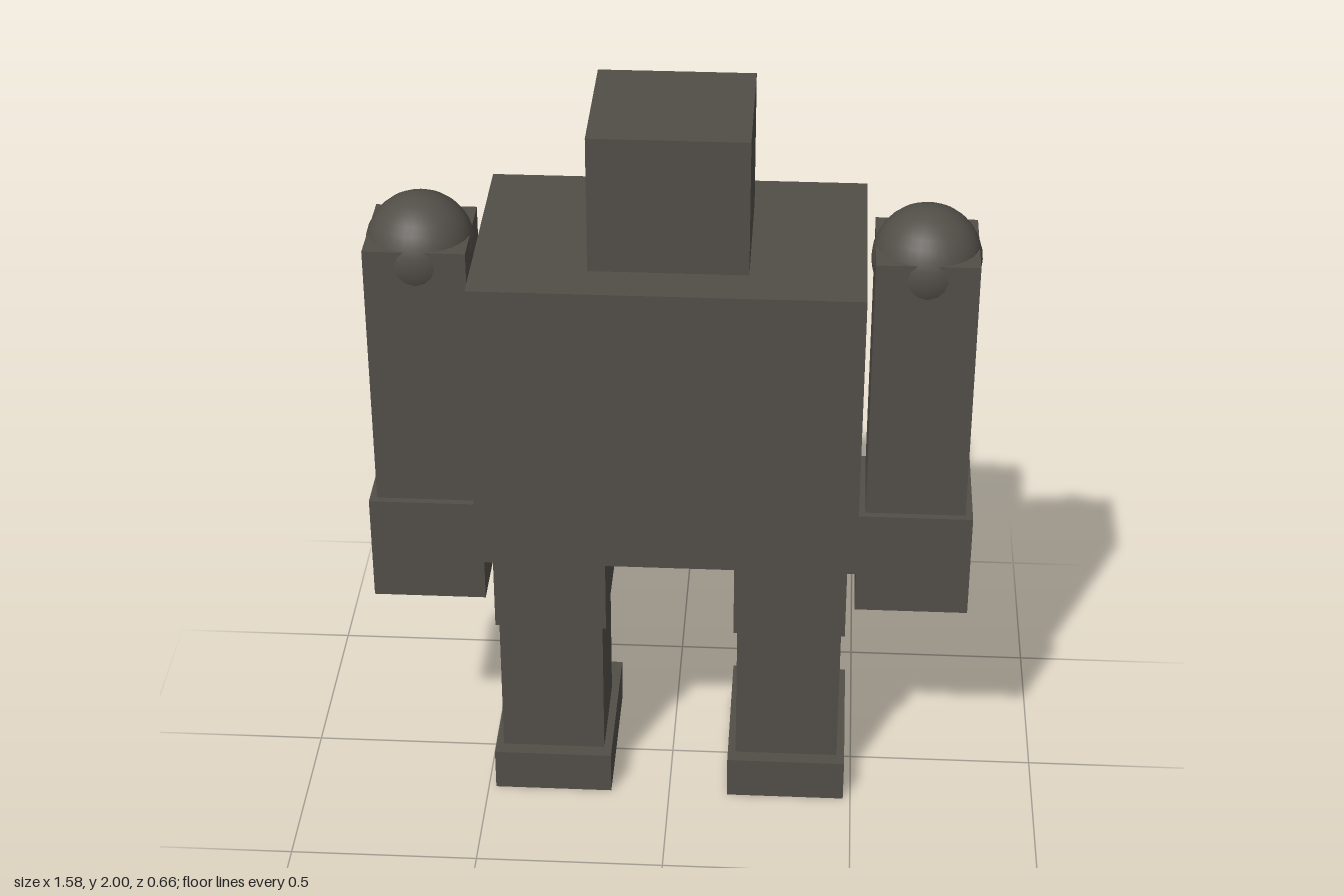
import * as THREE from 'three';

const Z = 0.008; // depth centre of the body

export function createModel() {
  const model = new THREE.Group();
  model.name = 'robot';

  const iron = new THREE.MeshStandardMaterial({ color: 0x524e48 });
  iron.name = 'dark iron';
  const amber = new THREE.MeshStandardMaterial({ color: 0xd6a44c });
  amber.name = 'amber';

  function add(parent, name, geometry, material, x, y, z) {
    const mesh = new THREE.Mesh(geometry, material);
    mesh.name = name;
    mesh.position.set(x, y, z);
    parent.add(mesh);
  }

  // Box given by its bottom and top heights
  function block(parent, name, x, y0, y1, width, depth, z = Z, material = iron) {
    add(parent, name, new THREE.BoxGeometry(width, y1 - y0, depth), material, x, (y0 + y1) / 2, z);
  }

  // Body and head
  block(model, 'torso', 0, 0.845, 1.64, 0.98, 0.64);
  block(model, 'head', 0, 1.64, 2, 0.4, 0.4);

  // Raised chest strip on the face side
  block(model, 'chestStrip', 0, 1.04, 1.44, 0.08, 0.03, -0.316, amber);

  for (const [side, s] of [['left', 1], ['right', -1]]) {
    add(model, side + 'Eye', new THREE.SphereGeometry(0.06, 32, 16), amber, s * 0.1, 1.845, -0.202);

    // Arm with ball shoulder and block hand
    const arm = new THREE.Group();
    arm.name = side + 'Arm';
    add(arm, 'shoulder', new THREE.SphereGeometry(0.14, 32, 16), iron, s * 0.641, 1.597, Z);
    block(arm, 'armBlock', s * 0.641, 0.91, 1.64, 0.26, 0.26);
    block(arm, 'hand', s * 0.641, 0.615, 0.91, 0.298, 0.298);
    model.add(arm);

    // Leg with a foot reaching toward the face side
    const leg = new THREE.Group();
    leg.name = side + 'Leg';
    block(leg, 'thigh', s * 0.32, 0.525, 0.845, 0.298, 0.298);
    block(leg, 'shin', s * 0.32, 0.12, 0.525, 0.278, 0.28, 0.01);
    block(leg, 'foot', s * 0.32, 0, 0.12, 0.32, 0.438, -0.03);
    model.add(leg);
  }

  return model;
}
